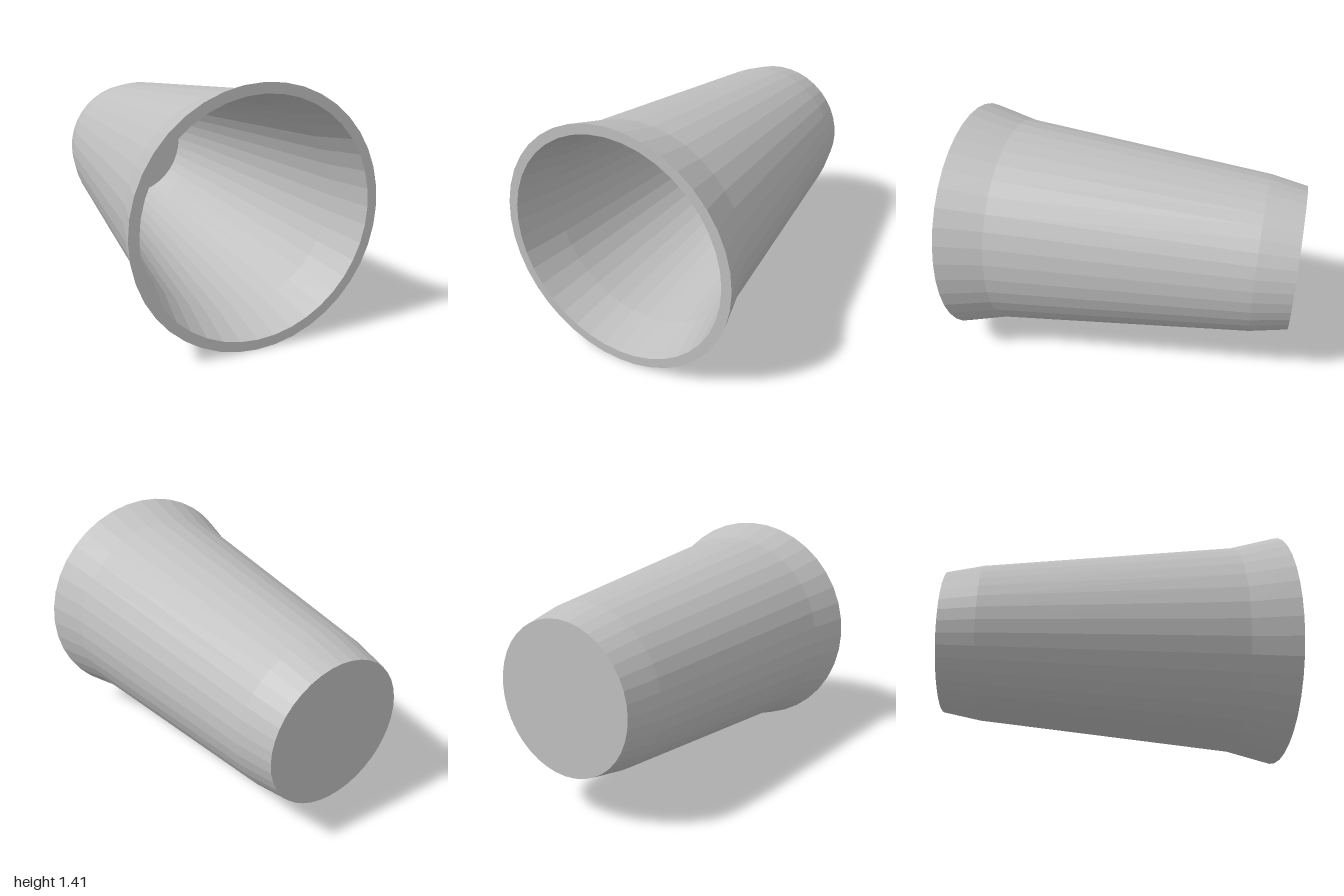
import * as THREE from 'three';

const SIDES = 40;
const CENTRE_Y = 0.704;

export function createModel() {
  const model = new THREE.Group();
  model.name = 'cup';
  const grey = new THREE.MeshStandardMaterial({ color: 0xc0c0c0, flatShading: true });
  grey.name = 'grey';

  // Revolve a [radius, z] profile about the front-to-back axis
  const addTurned = (name, profile) => {
    const points = profile.map(([r, z]) => new THREE.Vector2(r, z));
    const geometry = new THREE.LatheGeometry(points, SIDES).rotateX(Math.PI / 2);
    const mesh = new THREE.Mesh(geometry, grey);
    mesh.name = name;
    mesh.position.y = CENTRE_Y;
    model.add(mesh);
  };

  // Closed back end
  addTurned('base', [[0, -1], [0.43, -1]]);
  // Tapered outside with a flared mouth
  addTurned('outerWall', [[0.43, -1], [0.475, -0.78], [0.634, 0.73], [0.704, 1]]);
  // Flat ring around the mouth
  addTurned('rim', [[0.704, 1], [0.648, 1]]);
  // Hollow inside
  addTurned('innerWall', [[0.648, 1], [0.588, 0.73], [0.425, -0.78], [0.386, -0.95]]);
  addTurned('innerFloor', [[0.386, -0.95], [0, -0.95]]);

  return model;
}
